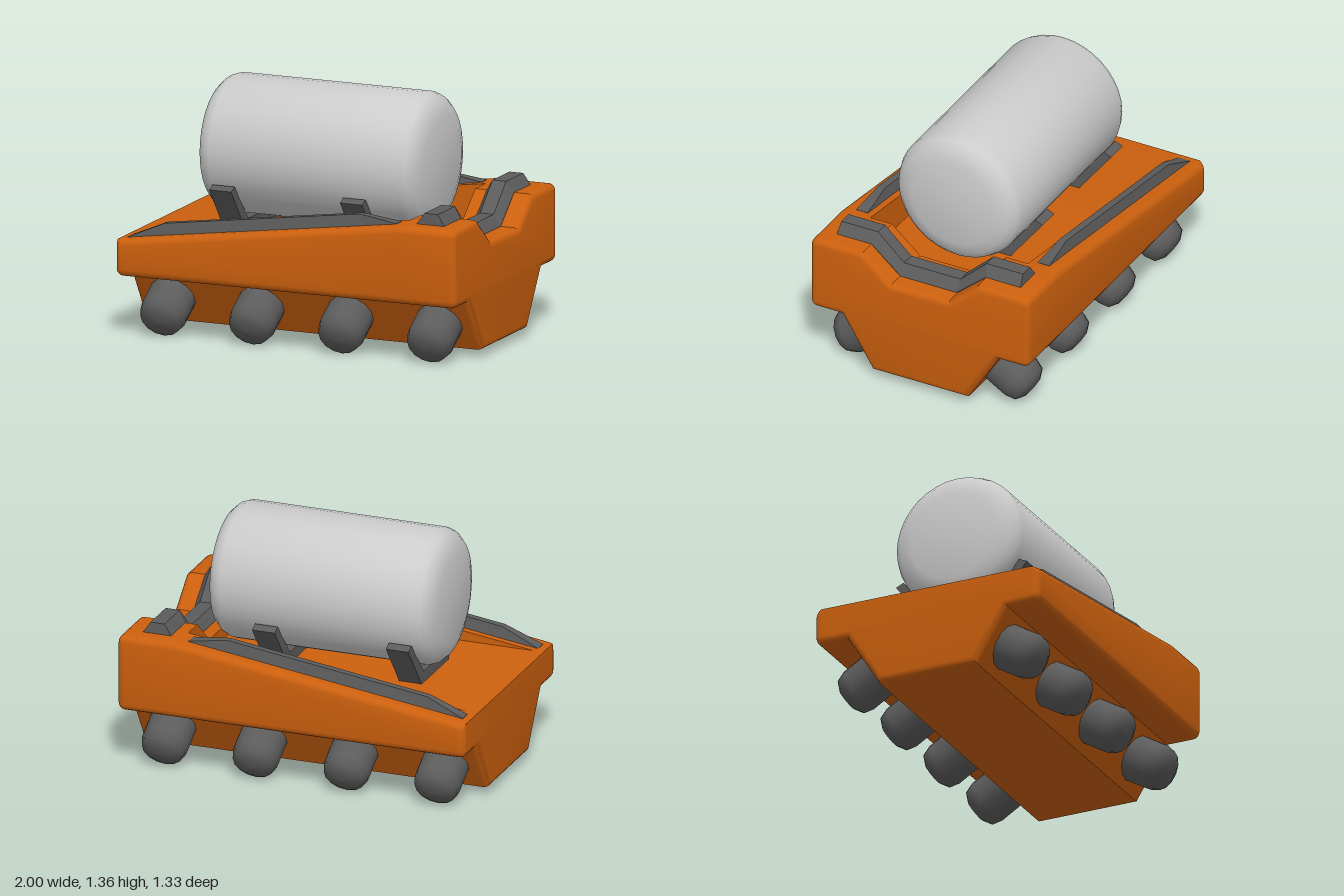
import * as THREE from 'three';
import { toCreasedNormals } from 'three/addons/utils/BufferGeometryUtils.js';

const orange = new THREE.MeshStandardMaterial({ color: 0xcc600e });
const dark = new THREE.MeshStandardMaterial({ color: 0x5c5c5c });
const grey = new THREE.MeshStandardMaterial({ color: 0xcccccc });

// Skins closed cross-sections {x, pts: [[u, v]]}, where u = -z and v = y,
// counter-clockwise as seen from +x, and closes both ends.
function loft(sections, crease) {
  const pos = [];
  const at = (s, i) => new THREE.Vector3(s.x, s.pts[i][1], -s.pts[i][0]);
  const tri = (a, b, c) => {
    const area = b.clone().sub(a).cross(c.clone().sub(a)).length();
    if (area > 1e-8) for (const p of [a, b, c]) pos.push(p.x, p.y, p.z);
  };
  const n = sections[0].pts.length;
  for (let s = 0; s < sections.length - 1; s++) {
    const A = sections[s], B = sections[s + 1];
    for (let i = 0; i < n; i++) {
      const j = (i + 1) % n;
      tri(at(A, i), at(A, j), at(B, j));
      tri(at(A, i), at(B, j), at(B, i));
    }
  }
  const cap = (s, flip) => {
    const outline = s.pts.map(([u, v]) => new THREE.Vector2(u, v));
    for (const [a, b, c] of THREE.ShapeUtils.triangulateShape(outline, [])) {
      if (flip) tri(at(s, a), at(s, c), at(s, b));
      else tri(at(s, a), at(s, b), at(s, c));
    }
  };
  cap(sections[0], true);
  cap(sections[sections.length - 1], false);
  const g = new THREE.BufferGeometry();
  g.setAttribute('position', new THREE.Float32BufferAttribute(pos, 3));
  return toCreasedNormals(g, crease);
}

const mirrored = (half) => [...half, ...half.slice().reverse().map(([u, v]) => [-u, v])];

// Height of the sloping deck
const deckY = (x) => Math.min(0.77, 0.54 + (0.23 * (x + 1)) / 1.66);

// Hull cross-section: keel, rounded side slab, and a trough from (a, top) to (b, floor)
function hullSection(x, a, b, floor) {
  const top = deckY(x), r = 0.04, w = 0.667;
  const half = [[0.29, 0.045], [0.475, 0.342]];
  for (const [cy, start] of [[0.342 + r, -Math.PI / 2], [top - r, 0]]) {
    for (let i = 0; i <= 4; i++) {
      const t = start + (i * Math.PI) / 8;
      half.push([w - r + r * Math.cos(t), cy + r * Math.sin(t)]);
    }
  }
  half.push([a, top], [b, floor]);
  return { x, pts: mirrored(half) };
}

// Shrinks a section by d along its mitred normals; the top can be kept in place
function inset(section, d, keepTop) {
  const p = section.pts, n = p.length;
  const normal = (a, b) => new THREE.Vector2(b[1] - a[1], a[0] - b[0]).normalize();
  const pts = p.map((c, i) => {
    const n1 = normal(p[(i + n - 1) % n], c), n2 = normal(c, p[(i + 1) % n]);
    const k = d / (1 + n1.dot(n2));
    const dv = keepTop && c[1] > 0.45 ? 0 : (n1.y + n2.y) * k;
    return [c[0] - (n1.x + n2.x) * k, c[1] - dv];
  });
  return { x: section.x, pts };
}

function hullGeometry() {
  const r = 0.036, steps = 4, sections = [];
  const floor = deckY(-0.95);
  const rounding = (i) => {
    const t = (i / steps) * Math.PI / 2;
    return [r * (1 - Math.sin(t)), r * (1 - Math.cos(t))];
  };
  // Low end
  for (let i = steps; i >= 0; i--) {
    const [dx, d] = rounding(i);
    const x = -1 + dx;
    sections.push(inset(hullSection(x, 0.48, 0.47, deckY(x)), d, true));
  }
  // Sunken tank bed with a level floor
  sections.push(hullSection(-0.95, 0.48, 0.48, floor));
  sections.push(hullSection(0.66, 0.48, 0.48, floor));
  // High end with its notch
  for (let i = 0; i <= steps; i++) {
    const [dx, d] = rounding(i);
    sections.push(inset(hullSection(i ? 1 - dx : 0.66, 0.35, 0.175, 0.62), d, false));
    if (i === 0) sections.push(hullSection(1 - r, 0.35, 0.175, 0.62));
  }
  return loft(sections, 0.55);
}

// Bent strip between a lower and an upper polyline, given for u >= 0 from the middle outward
const strip = (lower, upper) => mirrored([...lower, ...upper.slice().reverse()]);

export function createModel() {
  const model = new THREE.Group();
  const add = (name, geometry, material, parent = model) => {
    const mesh = new THREE.Mesh(geometry, material);
    mesh.name = name;
    parent.add(mesh);
    return mesh;
  };

  add('hull', hullGeometry(), orange);

  // Tank lying along the bed
  const rim = [[0, 0], [0.25, 0], [0.325, 0.025], [0.36, 0.06], [0.375, 0.1]];
  const len = 1.305;
  const profile = [...rim, ...rim.slice().reverse().map(([r, y]) => [r, len - y])]
    .map(([r, y]) => new THREE.Vector2(r, y - len / 2));
  const tankGeometry = toCreasedNormals(new THREE.LatheGeometry(profile, 36), 0.75);
  const tank = add('tank', tankGeometry, grey);
  tank.rotation.z = -Math.PI / 2;
  tank.position.set(-0.0275, 0.985, 0);

  // Two cradles holding the tank
  const cradle = strip([[0.19, 0.54], [0.39, 0.8]], [[0.165, 0.61], [0.345, 0.82]]);
  for (const x of [-0.505, 0.265]) {
    add('cradle', loft([{ x: x - 0.065, pts: cradle }, { x: x + 0.065, pts: cradle }], 0.3), dark);
  }

  // Chamfered crossbar following the notch
  const bar = [[0.73, 0.004], [0.77, 0.063], [0.85, 0.063], [0.89, 0.004]].map(([x, h]) => ({
    x,
    pts: strip(
      [[0.175, 0.61], [0.35, 0.76], [0.56, 0.76]],
      [[0.175 - h * 0.06, 0.62 + h], [0.35 - h * 0.3, 0.768 + h], [0.56 - h * 0.1, 0.768 + h]]
    ),
  }));
  add('crossbar', loft(bar, 0.3), dark);

  // Tapered side rails on the deck
  for (const side of [-1, 1]) {
    const rail = [[-0.96, 0.002], [-0.75, 0.063], [0.4, 0.063], [0.62, 0.002]].map(([x, h]) => {
      const y = deckY(x), c = side * 0.553, w = 0.036 - h * 0.25;
      return {
        x,
        pts: [[c - 0.036, y - 0.01], [c + 0.036, y - 0.01], [c + w, y + h], [c - w, y + h]],
      };
    });
    add(side < 0 ? 'leftRail' : 'rightRail', loft(rail, 0.3), dark);
  }

  // Splayed wheels, square to the sloping keel sides
  const wheelProfile = [[0.13, -0.06], [0.13, 0.145], [0.113, 0.2], [0.062, 0.228], [0, 0.234]]
    .map(([r, y]) => new THREE.Vector2(r, y));
  const wheelGeometry = new THREE.LatheGeometry(wheelProfile, 14);
  for (const side of [-1, 1]) {
    const axis = new THREE.Vector3(0, -0.52, side * 0.854).normalize();
    for (const x of [-0.785, -0.262, 0.262, 0.785]) {
      const wheel = add('wheel', wheelGeometry, dark);
      wheel.position.set(x, 0.202, side * 0.382);
      wheel.quaternion.setFromUnitVectors(new THREE.Vector3(0, 1, 0), axis);
    }
  }
  return model;
}
